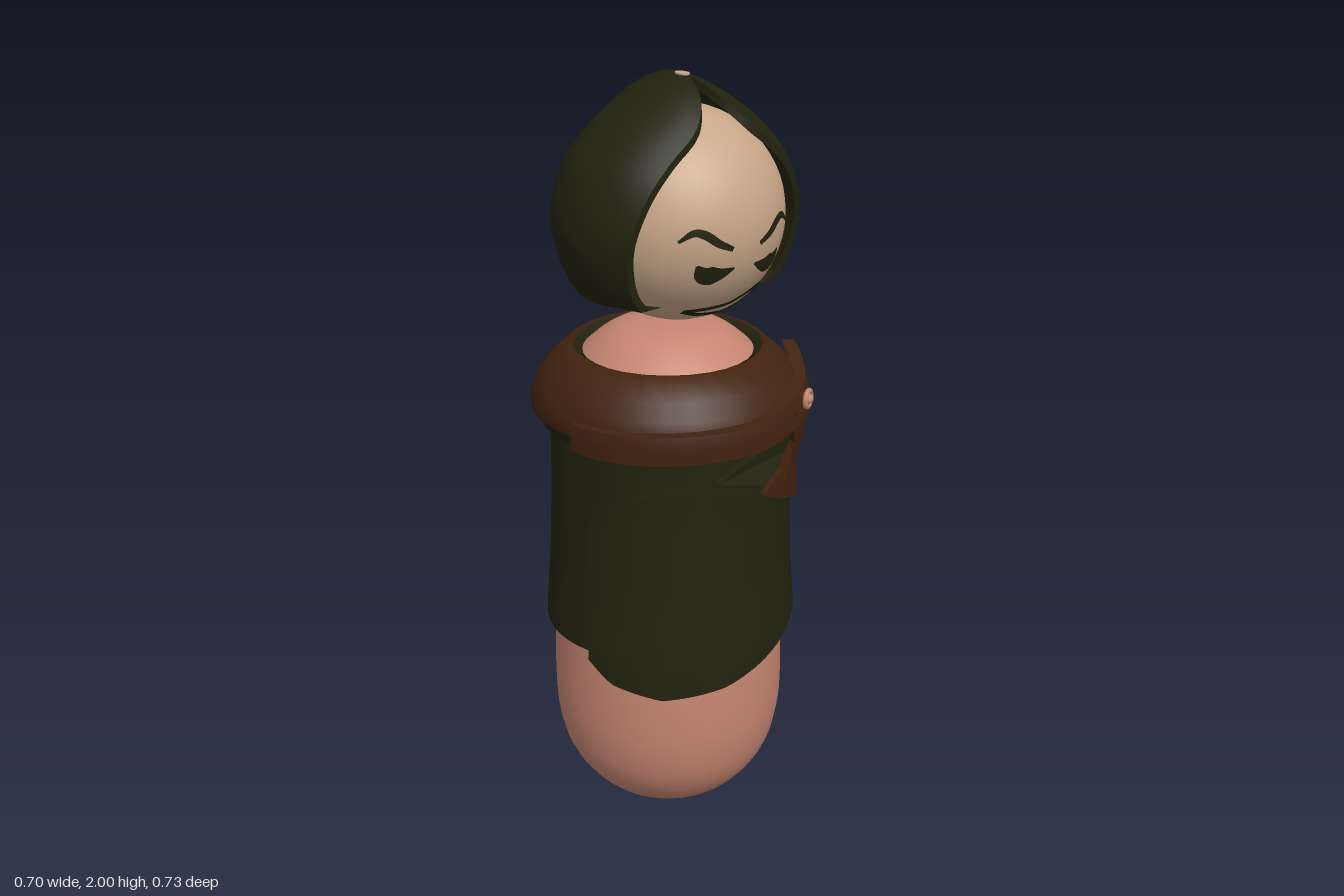
import * as THREE from 'three';
import { toCreasedNormals } from 'three/addons/utils/BufferGeometryUtils.js';

const mat = (name, color) => {
  const m = new THREE.MeshStandardMaterial({ color, side: THREE.DoubleSide });
  m.name = name;
  return m;
};

// Surface from a rule fn(u, v) -> [x, y, z], with u and v as grid steps
function grid(nu, nv, fn) {
  const pos = [], idx = [];
  for (let j = 0; j <= nv; j++) for (let i = 0; i <= nu; i++) pos.push(...fn(i, j));
  for (let j = 0; j < nv; j++) for (let i = 0; i < nu; i++) {
    const a = j * (nu + 1) + i, b = a + 1, c = a + nu + 1, d = c + 1;
    idx.push(a, c, b, b, c, d);
  }
  const g = new THREE.BufferGeometry();
  g.setAttribute('position', new THREE.Float32BufferAttribute(pos, 3));
  g.setIndex(idx);
  return toCreasedNormals(g, 0.7);
}

// Piecewise linear lookup through [key, value] pairs
function ramp(pairs, k) {
  if (k <= pairs[0][0]) return pairs[0][1];
  for (let i = 1; i < pairs.length; i++) {
    const [k0, v0] = pairs[i - 1], [k1, v1] = pairs[i];
    if (k <= k1) return v0 + (v1 - v0) * (k - k0) / (k1 - k0);
  }
  return pairs[pairs.length - 1][1];
}

const CX = 0.006, CZ = -0.016; // body axis

// Cloth wrapped round the body, its border turned inward.
// Angle 0 is the front, positive toward +x.
function wrap({ from, to, top, bottom, radius, fold = 0.02, nu = 40, nv = 10 }) {
  return grid(nu + 2, nv + 2, (i, j) => {
    const u = THREE.MathUtils.clamp((i - 1) / nu, 0, 1);
    const v = THREE.MathUtils.clamp((j - 1) / nv, 0, 1);
    const a0 = ramp(from, v), a = a0 + (ramp(to, v) - a0) * u;
    const t = ramp(top, a), y = t + (ramp(bottom, a) - t) * v;
    const border = i === 0 || j === 0 || i === nu + 2 || j === nv + 2;
    const r = radius(y, a) - (border ? fold : 0);
    return [CX + r * Math.sin(a), y, CZ + r * Math.cos(a)];
  });
}

function lathe(points, sides) {
  const g = new THREE.LatheGeometry(points.map(p => new THREE.Vector2(...p)), sides);
  g.translate(CX, 0, CZ);
  return g;
}

export function createModel() {
  const root = new THREE.Group();
  const skin = mat('faceSkin', 0xc8a688);
  const pink = mat('bodyPink', 0xc68571);
  const green = mat('darkGreen', 0x22220f);
  const brown = mat('leatherBrown', 0x42220f);
  const add = (name, geo, material, parent = root) => {
    const m = new THREE.Mesh(geo, material);
    m.name = name;
    parent.add(m);
    return m;
  };

  // Peg body
  const bodyCurve = new THREE.SplineCurve([[0, 0], [0.1, 0.018], [0.2, 0.075], [0.27, 0.165],
    [0.301, 0.27], [0.308, 0.4], [0.301, 0.6], [0.29, 0.9], [0.28, 1.15], [0.25, 1.26],
    [0.2, 1.325], [0.12, 1.375], [0, 1.385]].map(p => new THREE.Vector2(...p)));
  add('body', lathe(bodyCurve.getPoints(48).map(p => [Math.max(p.x, 0), Math.max(p.y, 0)]), 40), pink);

  // Head
  const headY = 1.67, headZ = 0.03, headR = 0.258;
  add('head', new THREE.SphereGeometry(headR, 40, 28), skin).position.set(0, headY, headZ);

  // Face details: strokes of [x, y, half width] laid on the head
  const face = new THREE.Group();
  face.name = 'face';
  root.add(face);
  const stroke = (name, pts, tension = 0.5) => {
    const curve = new THREE.CatmullRomCurve3(pts.map(p => new THREE.Vector3(...p)), false, 'catmullrom', tension);
    const n = 32;
    add(name, grid(n, 4, (i, j) => {
      const p = curve.getPoint(i / n), t = curve.getTangent(i / n);
      const l = Math.hypot(t.x, t.y) || 1, o = p.z * (j / 2 - 1);
      const x = p.x - t.y / l * o, y = p.y + t.x / l * o;
      return [x, y, headZ + Math.sqrt((headR + 0.004) ** 2 - x * x - (y - headY) ** 2)];
    }), green, face);
  };
  for (const s of [-1, 1]) {
    stroke('eyebrow', [[0.04, 1.645, 0.006], [0.075, 1.662, 0.009], [0.105, 1.684, 0.01],
      [0.13, 1.69, 0.008], [0.16, 1.67, 0.003]].map(([x, y, w]) => [s * x, y, w]));
    stroke('eye', [[0.03, 1.597, 0.003], [0.06, 1.587, 0.015], [0.085, 1.584, 0.024],
      [0.105, 1.592, 0.019], [0.12, 1.612, 0.003]].map(([x, y, w]) => [s * x, y, w]));
  }
  stroke('mouth', [[-0.1, 1.478, 0.006], [0, 1.488, 0.006], [0.08, 1.523, 0.006], [0.09, 1.52, 0.006],
    [0.09, 1.485, 0.006], [0.05, 1.47, 0.006], [0, 1.46, 0.006], [-0.06, 1.464, 0.006], [-0.1, 1.478, 0.006]], 0.2);

  // Hood: half outline as x, y and the depth of the front opening there
  const outline = new THREE.CatmullRomCurve3([[0, 2, 0.07], [0.03, 1.992, 0.145], [0.085, 1.966, 0.188],
    [0.2, 1.885, 0.198], [0.27, 1.8, 0.195], [0.307, 1.67, 0.18], [0.292, 1.58, 0.166],
    [0.25, 1.49, 0.155], [0.15, 1.41, 0.15], [0, 1.37, 0.15]].map(p => new THREE.Vector3(...p)));
  const rows = 18, half = 36;
  add('hood', grid(half * 2, rows + 1, (i, j) => {
    const p = outline.getPoint(Math.abs(i - half) / half);
    const side = Math.sign(i - half), R = 0.288, zc = 0.02;
    const th = Math.acos(-(p.z - zc) / R) * Math.min(j, rows) / rows;
    const s = Math.sin(th) * (j > rows ? 0.93 : 1); // last row is the inner lip
    return [side * p.x * s + 0.003, Math.max(1.49, 1.66 + (p.y - 1.66) * s), zc - R * Math.cos(th)];
  }), green);
  const gap = add('hoodGap', new THREE.CylinderGeometry(1, 1, 0.004, 16), skin);
  gap.scale.set(0.014, 1, 0.022);
  gap.position.set(0.003, 1.998, 0.042);

  // Tunic all round the body
  const tunicR = y => ramp([[0.5, 0.327], [0.6, 0.324], [0.75, 0.312], [0.95, 0.303], [1.2, 0.3]], y);
  add('tunic', wrap({
    from: [[0, -Math.PI]], to: [[0, Math.PI]], top: [[0, 1.2]],
    bottom: [[-3.1, 0.555], [-1.5, 0.575], [0, 0.6], [1.5, 0.575], [3.1, 0.555]],
    radius: tunicR, nu: 56, nv: 12,
  }), green);

  // Two overlapping front panels
  add('innerPanel', wrap({
    from: [[0, -1.3]], to: [[0, 0.85], [0.25, 1.36], [0.65, 1.24], [1, 0.88]],
    top: [[0, 1.15]],
    bottom: [[-1.3, 0.56], [-1.1, 0.51], [-0.7, 0.48], [-0.2, 0.5], [0.7, 0.59], [0.9, 0.6]],
    radius: y => tunicR(y) + 0.012, nv: 16,
  }), green);
  add('outerPanel', wrap({
    from: [[0, -1.32]], to: [[0, 0.33]],
    top: [[-1.32, 0.97], [-0.9, 1.04], [-0.4, 1.07], [0.33, 0.99]],
    bottom: [[-1.32, 0.61], [-0.55, 0.585], [0.1, 0.62], [0.33, 0.665]],
    radius: (y, a) => tunicR(y) + 0.018 + (a < -0.8 ? (0.8 + a) * -0.01 : 0),
  }), green);

  // Collar with its green lining and lower rim
  const collar = lathe([[0.235, 1.31], [0.238, 1.326], [0.25, 1.325], [0.3, 1.28], [0.33, 1.24],
    [0.348, 1.2], [0.345, 1.175], [0.33, 1.17]].reverse(), 28);
  const cp = collar.attributes.position;
  for (let i = 0; i < cp.count; i++) {
    const back = Math.max(0, CZ - cp.getZ(i)) / 0.35;
    if (cp.getY(i) < 1.21) cp.setY(i, cp.getY(i) - 0.015 * back);
    cp.setZ(i, cp.getZ(i) - 0.008 * back);
  }
  add('collar', toCreasedNormals(collar, 0.7), brown);
  add('collarLining', lathe([[0.205, 1.3], [0.222, 1.318], [0.238, 1.325]], 28), green);
  add('collarRim', toCreasedNormals(lathe([[0.29, 1.145], [0.325, 1.142], [0.334, 1.155], [0.334, 1.2]], 28), 0.7), green);

  // Scarf band slanting across the front of the collar
  add('scarfBand', wrap({
    from: [[0, -1.36]], to: [[0, 1.05]],
    top: [[-1.4, 1.215], [0, 1.225], [0.6, 1.27], [1.05, 1.315]],
    bottom: [[-1.4, 1.145], [0, 1.155], [0.55, 1.195], [1.05, 1.265]],
    radius: (y, a) => ramp([[-1.4, 0.358], [-0.9, 0.372], [0.5, 0.376], [1.05, 0.35]], a) - Math.max(0, y - 1.2) * 0.25,
    fold: 0.03, nv: 4,
  }), brown);

  // Flat pieces bent round the body
  const bent = (name, pts, r, material) => {
    const g = new THREE.ExtrudeGeometry(new THREE.Shape(pts.map(p => new THREE.Vector2(...p))),
      { depth: 0.018, bevelEnabled: false });
    const p = g.attributes.position;
    for (let i = 0; i < p.count; i++) {
      const reach = r + 0.15 * Math.max(0, p.getY(i) - 1.08);
      p.setZ(i, p.getZ(i) + CZ + Math.sqrt(reach ** 2 - p.getX(i) ** 2));
    }
    g.computeVertexNormals();
    add(name, g, material);
  };
  bent('scarfTail', [[0.12, 1.22], [0.14, 1.13], [0.1, 1.07], [0.03, 1.025], [0.1, 0.99], [0.185, 0.96],
    [0.17, 1.07], [0.235, 1.14], [0.24, 1.22]], 0.338, brown);
  bent('tunicFold', [[-0.09, 1.075], [0.06, 1.035], [0.14, 1.1], [0.15, 1.18], [0.06, 1.15]], 0.318, green);

  // Button
  const button = new THREE.Group();
  button.name = 'button';
  button.position.set(0.18, 1.235, 0.318);
  button.rotation.y = 0.5;
  root.add(button);
  add('buttonRim', new THREE.TorusGeometry(0.02, 0.007, 8, 20), pink, button);
  add('buttonCentre', new THREE.SphereGeometry(0.014, 12, 8), pink, button);
  add('buttonBase', new THREE.CylinderGeometry(0.022, 0.022, 0.03, 20), brown, button).rotation.x = Math.PI / 2;
  button.children[2].position.z = -0.012;

  return root;
}
